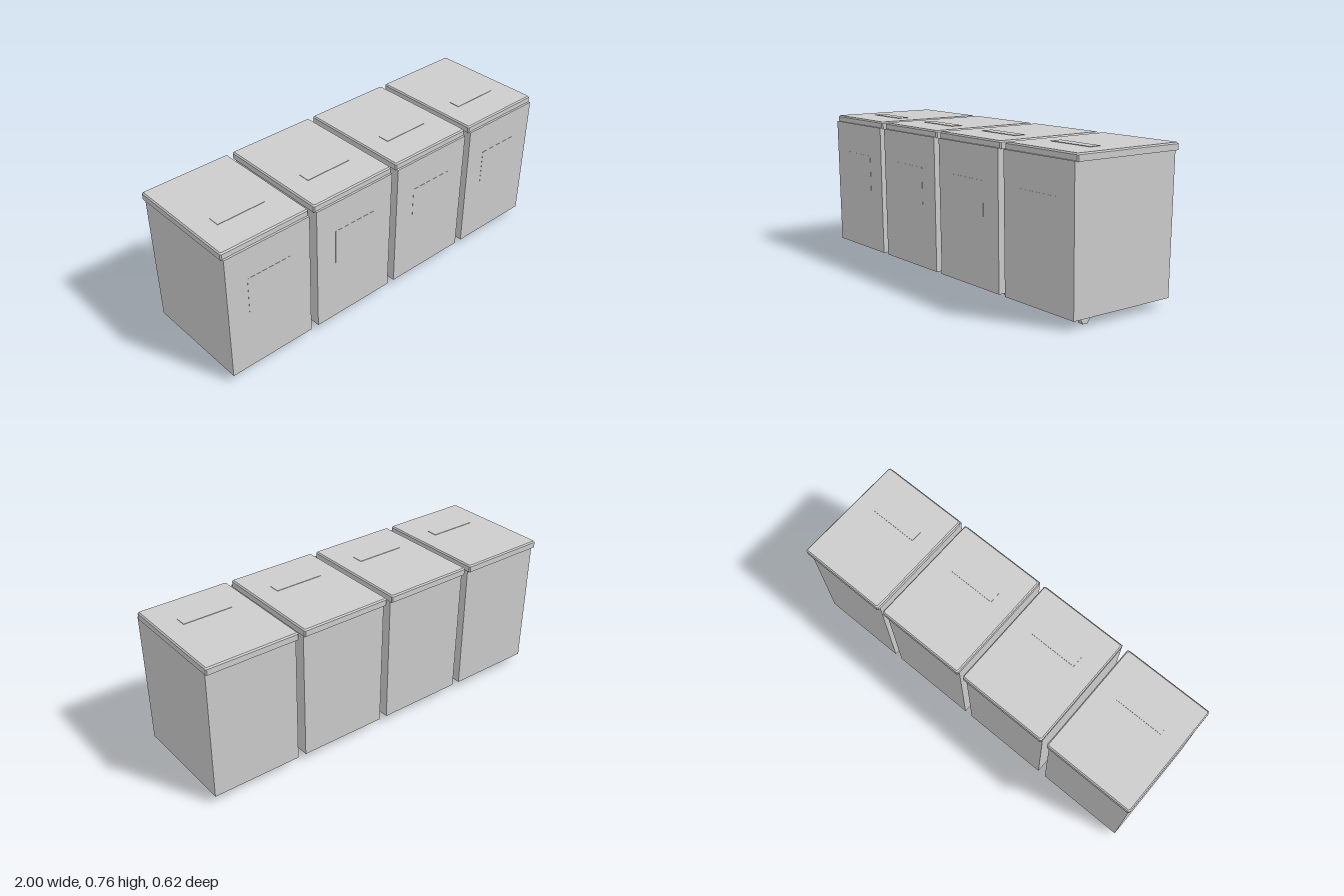
import * as THREE from 'three';

const grey = new THREE.MeshStandardMaterial({ color: 0xcccccc, side: THREE.DoubleSide });
grey.name = 'grey plastic';

const BASE = 0.042, RIM = 0.722;
const frontZ = (y) => 0.3 + 0.01 * (y - BASE) / (RIM - BASE);

function mesh(name, geometry, x = 0, y = 0, z = 0) {
  const m = new THREE.Mesh(geometry, grey);
  m.name = name;
  m.position.set(x, y, z);
  return m;
}

// Tub that widens slightly towards its rim, hollow and open underneath
function bodyGeometry() {
  const box = new THREE.BoxGeometry(1, 1, 1);
  const faces = Array.from(box.index.array);
  faces.splice(18, 6); // drop the floor
  box.setIndex(faces);
  const g = box.toNonIndexed();
  const p = g.attributes.position;
  for (let i = 0; i < p.count; i++) {
    const top = p.getY(i) > 0;
    const x = Math.sign(p.getX(i)) * (top ? 0.2335 : 0.232);
    const z = p.getZ(i) > 0 ? (top ? 0.31 : 0.3) : (top ? -0.29 : -0.28);
    p.setXYZ(i, x, top ? RIM : BASE, z);
  }
  g.computeVertexNormals();
  return g;
}

// Lid with cut corners and a narrow bevel around its top edge
function lidGeometry() {
  const w = 0.2385, d = 0.304, c = 0.006, h = 0.036;
  const shape = new THREE.Shape([
    [-w + c, -d], [w - c, -d], [w, -d + c], [w, d - c],
    [w - c, d], [-w + c, d], [-w, d - c], [-w, -d + c],
  ].map(([x, y]) => new THREE.Vector2(x, y)));
  const g = new THREE.ExtrudeGeometry(shape, { depth: h, steps: 2, bevelEnabled: false });
  const p = g.attributes.position;
  for (let i = 0; i < p.count; i++) {
    const z = p.getZ(i);
    if (z > h * 0.75) {
      p.setX(i, p.getX(i) * (w - 0.006) / w);
      p.setY(i, p.getY(i) * (d - 0.006) / d);
    } else if (z > h * 0.25) {
      p.setZ(i, 0.029);
    }
  }
  g.computeVertexNormals();
  g.rotateX(-Math.PI / 2);
  return g;
}

export function createModel() {
  const model = new THREE.Group();
  model.name = 'rowOfBins';
  const body = bodyGeometry(), lid = lidGeometry();
  const grip = new THREE.BoxGeometry(0.255, 0.004, 0.06);
  const label = new THREE.BoxGeometry(0.24, 0.19, 0.002);
  // Six-sided wheel standing on a flat
  const wheel = new THREE.CylinderGeometry(0.028, 0.028, 0.026, 6).rotateZ(Math.PI / 2);

  for (let i = 0; i < 4; i++) {
    const bin = new THREE.Group();
    bin.name = 'bin' + (i + 1);
    bin.position.x = (i - 1.5) * 0.5077;
    bin.add(mesh('body', body));
    bin.add(mesh('lid', lid, 0, 0.718, -0.005));
    bin.add(mesh('lidGrip', grip, 0, 0.7545, 0.096));

    // Plain label plate lying on the sloping front
    const plate = mesh('labelPlate', label, 0, 0.465, frontZ(0.465));
    plate.rotation.x = Math.atan(0.01 / (RIM - BASE));
    bin.add(plate);

    for (const s of [-1, 1]) {
      bin.add(mesh(s < 0 ? 'rightWheel' : 'leftWheel', wheel, s * 0.174, 0.0243, 0.191));
    }
    model.add(bin);
  }
  return model;
}
